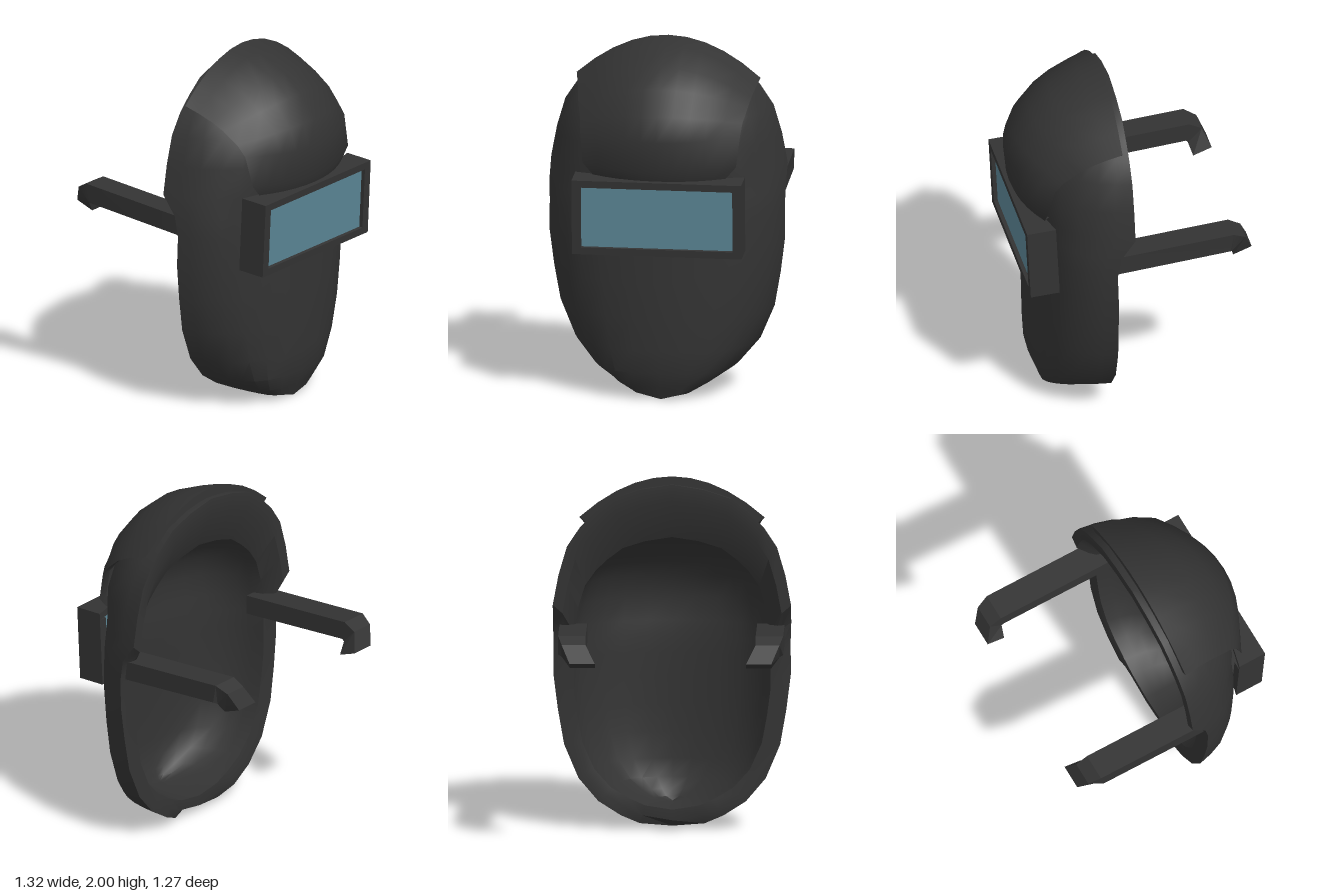
import * as THREE from 'three';
import { toCreasedNormals } from 'three/addons/utils/BufferGeometryUtils.js';

const dark = new THREE.MeshStandardMaterial({ color: 0x333333, side: THREE.DoubleSide });
const glass = new THREE.MeshStandardMaterial({ color: 0x5b8696 });

// Skin a grid of points; rows run along the part, each row is one cross-section
function loft(rows, closed, crease) {
  const pos = [];
  const tri = (a, b, c) => {
    const n = new THREE.Vector3().subVectors(b, a).cross(new THREE.Vector3().subVectors(c, a));
    if (n.length() > 1e-8) for (const p of [a, b, c]) pos.push(p.x, p.y, p.z);
  };
  for (let i = 0; i < rows.length - 1; i++) {
    const n = rows[i].length;
    for (let j = 0; j < (closed ? n : n - 1); j++) {
      const k = (j + 1) % n;
      tri(rows[i][j], rows[i][k], rows[i + 1][k]);
      tri(rows[i][j], rows[i + 1][k], rows[i + 1][j]);
    }
  }
  const g = new THREE.BufferGeometry();
  g.setAttribute('position', new THREE.Float32BufferAttribute(pos, 3));
  return toCreasedNormals(g, crease);
}

const V = (x, y, z) => new THREE.Vector3(x, y, z);

function part(name, geometry, material = dark) {
  const m = new THREE.Mesh(geometry, material);
  m.name = name;
  return m;
}

// Hollow face shell: outer skin, back rim and inner skin in one closed loop per height
function shellGeometry() {
  // height, half width, back z, front z, roundness (small values are boxy, for the chin)
  const levels = [
    [0, 0, 0.25, 0.45, 1], [0.03, 0.18, 0.16, 0.46, 0.35], [0.08, 0.285, 0.13, 0.48, 0.5],
    [0.16, 0.41, 0.13, 0.51, 0.7], [0.29, 0.52, 0.13, 0.52, 0.9], [0.48, 0.6, 0.135, 0.525, 1],
    [0.68, 0.635, 0.14, 0.525, 1], [0.88, 0.66, 0.145, 0.52, 1], [1.05, 0.658, 0.15, 0.52, 1],
    [1.17, 0.662, 0.13, 0.52, 1], [1.28, 0.662, 0.05, 0.53, 1], [1.45, 0.63, 0.05, 0.55, 1],
    [1.61, 0.583, 0.05, 0.51, 1], [1.72, 0.51, 0.05, 0.44, 1], [1.8, 0.43, 0.05, 0.36, 1],
    [1.88, 0.33, 0.05, 0.25, 1], [1.93, 0.18, 0.05, 0.15, 1], [1.96, 0, 0.05, 0.06, 1],
  ];
  // half cross-section: share of width, share of depth
  const half = [[1, 0], [0.97, 0.2], [0.92, 0.4], [0.82, 0.6], [0.69, 0.77], [0.5, 0.89], [0.25, 0.975], [0, 1]];
  const arc = [...half.map(([a, b]) => [-a, b]), ...half.slice(0, -1).reverse()];
  return loft(levels.map(([y, w, zb, zf, round]) => {
    const across = (a) => Math.sign(a) * Math.abs(a) ** round;
    const yi = 0.11 + y * 0.785, wi = w * 0.83, zi = 0.14;
    const depth = Math.max(0, (zf - 0.1) * 0.85);
    const yr = 0.05 + y * 0.925, zr = Math.min(zb, 0.14);
    const outer = arc.map(([a, b]) => V(across(a) * w, y, zb + (zf - zb) * b));
    const inner = arc.map(([a, b]) => V(-a * wi, yi, zi + depth * b));
    return [...outer, V(w * 0.92, yr, zr), ...inner, V(-w * 0.92, yr, zr)];
  }), true, 0.6);
}

// Raised forehead cap spanned between its centre line and its side edge
function browGeometry() {
  const centre = [[1.29, 0.6], [1.34, 0.62], [1.52, 0.64], [1.66, 0.6], [1.79, 0.5], [1.89, 0.38], [1.97, 0.2], [2, 0.09]];
  const edge = [[0.37, 1.29, 0.5], [0.43, 1.36, 0.5], [0.448, 1.53, 0.46], [0.455, 1.59, 0.41],
    [0.475, 1.66, 0.33], [0.485, 1.7, 0.26], [0.5, 1.74, 0.17], [0.515, 1.77, 0.09]];
  const n = 10, last = centre.length - 1, core = V(0, 1.35, 0.08);
  const rows = [];
  for (let i = -1; i <= last + 1; i++) {
    const r = THREE.MathUtils.clamp(i, 0, last);
    const [cy, cz] = centre[r], [ex, ey, ez] = edge[r];
    const row = [];
    for (let j = -1; j <= n + 1; j++) {
      const u = THREE.MathUtils.clamp(j / n, 0, 1) * 2 - 1;
      const p = V(u * ex, cy + (ey - cy) * u * u, cz + (ez - cz) * u * u);
      // border points fold inward to give the cap an edge
      if (i !== r) p.lerp(core, 0.1);
      else if (j < 0 || j > n) p.x *= 0.87;
      row.push(p);
    }
    rows.push(row);
  }
  return loft(rows, false, 0.75);
}

// Headband arm with a hooked end; side is +1 (left) or -1 (right)
function armGeometry(side) {
  // outer x, inner x, top z, top y, bottom z, bottom y
  const sections = [
    [0.625, 0.472, 0.2, 1.15, 0.2, 1.04], [0.625, 0.472, -0.52, 1.208, -0.5, 1.1],
    [0.605, 0.472, -0.59, 1.17, -0.515, 1.09], [0.56, 0.42, -0.635, 1.07, -0.53, 1.03],
  ];
  const rows = sections.map(([xo, xi, zt, yt, zb, yb]) => {
    const loop = [V(side * xi, yt, zt), V(side * xo, yt, zt), V(side * xo, yb, zb), V(side * xi, yb, zb)];
    return side > 0 ? loop : loop.reverse();
  });
  const cap = (row) => {
    const c = row.reduce((s, p) => s.add(p), V(0, 0, 0)).multiplyScalar(0.25);
    return row.map(() => c);
  };
  return loft([cap(rows[0]), ...rows, cap(rows[rows.length - 1])], true, 0.3);
}

// Long frame bar whose back is hollowed to sit on the curved shell
function longBarGeometry() {
  const g = new THREE.BoxGeometry(0.95, 0.04, 0.165, 8, 1, 1);
  const p = g.attributes.position;
  for (let i = 0; i < p.count; i++) {
    if (p.getZ(i) < 0) p.setZ(i, p.getZ(i) + 0.068 * (1 - (p.getX(i) / 0.475) ** 2));
  }
  return g;
}

export function createModel() {
  const model = new THREE.Group();
  model.name = 'weldingMask';
  model.add(part('faceShell', shellGeometry()), part('browCap', browGeometry()));

  // Viewing window, leaning slightly forward at the top
  const viewer = new THREE.Group();
  viewer.name = 'viewingWindow';
  for (const s of [1, -1]) {
    const long = part(s > 0 ? 'frameTop' : 'frameBottom', longBarGeometry());
    long.position.y = s * 0.194;
    const short = part(s > 0 ? 'frameLeft' : 'frameRight', new THREE.BoxGeometry(0.05, 0.35, 0.165));
    short.position.x = s * 0.45;
    viewer.add(long, short);
  }
  const lens = part('lens', new THREE.BoxGeometry(0.85, 0.35, 0.02), glass);
  lens.position.z = 0.05;
  viewer.add(lens);
  viewer.position.set(0, 1.077, 0.532);
  viewer.rotation.x = 0.05;
  model.add(viewer);

  for (const side of [1, -1]) model.add(part(side > 0 ? 'leftArm' : 'rightArm', armGeometry(side)));
  return model;
}
